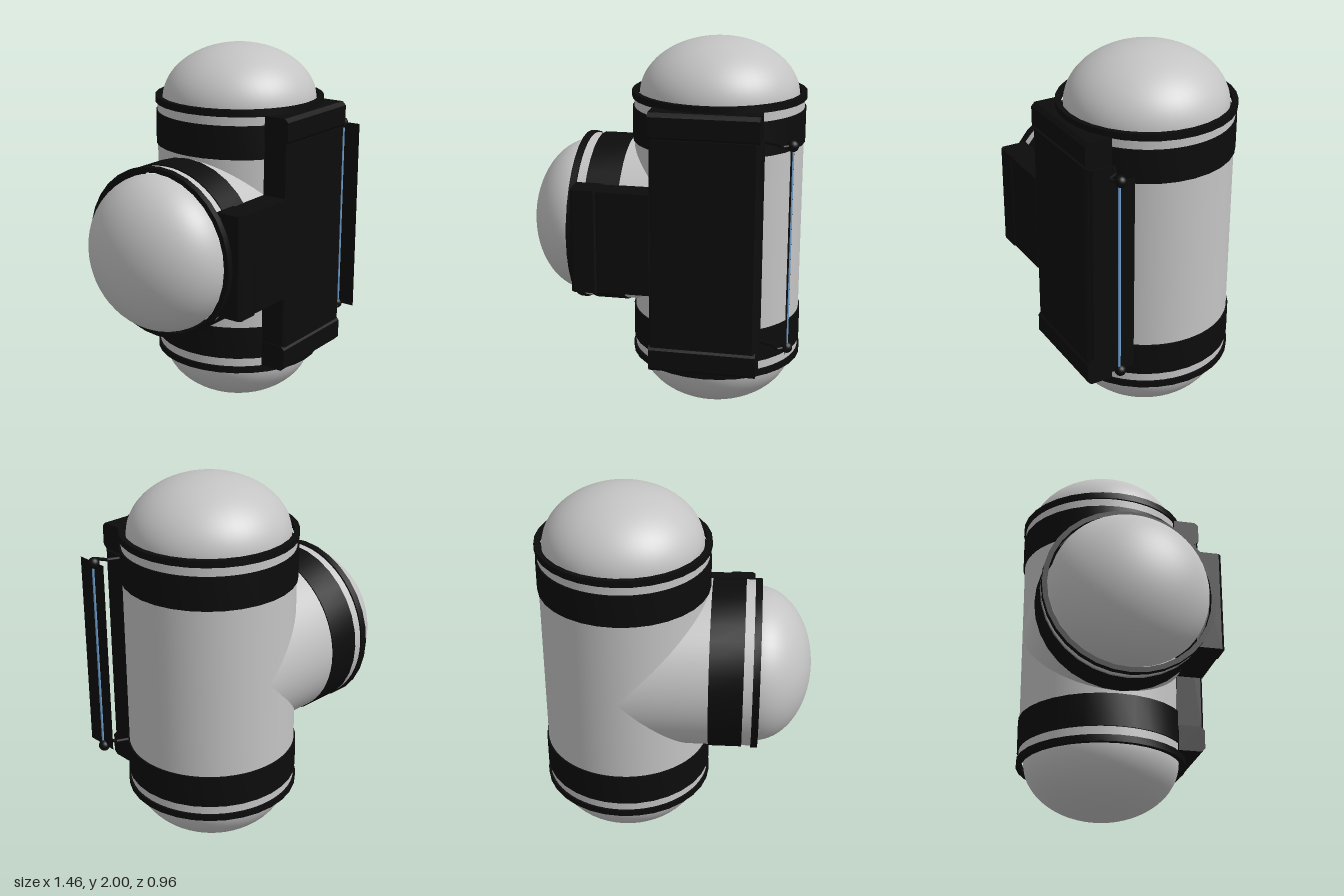
import * as THREE from 'three';
import { toCreasedNormals } from 'three/addons/utils/BufferGeometryUtils.js';

const R = 0.445, CX = 0.265, CZ = -0.025;

export function createModel() {
  const mat = (name, color, side = THREE.FrontSide) => {
    const m = new THREE.MeshStandardMaterial({ color, side });
    m.name = name;
    return m;
  };
  const grey = mat('light grey', 0xc4c4c4);
  const black = mat('black', 0x0c0c0c, THREE.DoubleSide);
  const blue = mat('blue', 0x6f9fcf);

  const root = new THREE.Group();
  root.name = 'teeModule';
  const add = (parent, name, geo, material, x = 0, y = 0, z = 0) => {
    const m = new THREE.Mesh(geo, material);
    m.name = name;
    m.position.set(x, y, z);
    parent.add(m);
    return m;
  };

  // Hollow hoop with a rectangular section
  const hoop = (ri, ro, y0, y1) => {
    const pts = [[ri, y0], [ro, y0], [ro, y1], [ri, y1], [ri, y0]].map(p => new THREE.Vector2(...p));
    return toCreasedNormals(new THREE.LatheGeometry(pts, 32), 0.6);
  };

  // One closed end: wide band, thin rim and flattened dome, pointing along +y
  const makeEnd = name => {
    const g = new THREE.Group();
    g.name = name;
    add(g, 'band', hoop(0.436, 0.454, 0.465, 0.642), black);
    add(g, 'rim', hoop(0.43, 0.457, 0.69, 0.726), black);
    const dome = new THREE.SphereGeometry(0.418, 48, 20, 0, Math.PI * 2, 0, Math.PI / 2);
    dome.scale(1, 0.3 / 0.418, 1);
    add(g, 'dome', dome, grey, 0, 0.7, 0);
    root.add(g);
    return g;
  };
  makeEnd('topEnd').position.set(CX, 1, CZ);
  const bottom = makeEnd('bottomEnd');
  bottom.position.set(CX, 1, CZ);
  bottom.rotation.x = Math.PI;
  const side = makeEnd('sideEnd');
  side.position.set(CX + 0.005, 1, CZ);
  side.rotation.z = Math.PI / 2;

  // Upright hull tube
  add(root, 'hull', new THREE.CylinderGeometry(R, R, 1.4, 64, 1, true), grey, CX, 1, CZ);

  // Side tube, its inner edge mitred where it meets the hull
  const arm = new THREE.CylinderGeometry(R + 0.002, R + 0.002, 1.4, 64, 1, true);
  const p = arm.attributes.position;
  for (let i = 0; i < p.count; i++) if (p.getY(i) < 0) p.setY(i, Math.abs(p.getX(i)) - 0.003);
  add(side, 'sideTube', arm, grey);

  // Bar with bevelled edges, given by its limits; bevelled profile runs across "axis"
  const bar = (name, x0, x1, y0, y1, z0, z1, c, axis) => {
    const [a0, a1] = axis === 'x' ? [y0, y1] : [x0, x1];
    const s = new THREE.Shape([
      [a0, z0], [a1, z0], [a1, z1 - c], [a1 - c, z1], [a0 + c, z1], [a0, z1 - c],
    ].map(q => new THREE.Vector2(...q)));
    const depth = axis === 'x' ? x1 - x0 : y1 - y0;
    const geo = new THREE.ExtrudeGeometry(s, { depth, bevelEnabled: false });
    if (axis === 'x') {
      // (shape x, shape y, depth) -> (y, z, x)
      geo.applyMatrix4(new THREE.Matrix4().set(0, 0, 1, x0, 1, 0, 0, 0, 0, 1, 0, 0, 0, 0, 0, 1));
    } else {
      // shape y becomes z, depth becomes -y
      geo.rotateX(Math.PI / 2);
      geo.translate(0, y1, 0);
    }
    add(root, name, geo, black);
  };
  // T-shaped equipment panel and its end caps
  bar('frontPanel', -0.01, 0.54, 0.45, 1.56, 0.33, 0.475, 0.012, 'y');
  bar('topPanelCap', -0.015, 0.545, 1.555, 1.695, 0.335, 0.478, 0.02, 'x');
  bar('bottomPanelCap', -0.015, 0.545, 0.315, 0.455, 0.335, 0.478, 0.02, 'x');
  bar('panelEdge', 0.5, 0.553, 0.46, 1.55, 0.33, 0.46, 0.015, 'y');
  bar('sidePanel', -0.285, 0, 0.735, 1.275, 0.33, 0.475, 0.008, 'y');
  bar('sidePanelCap', -0.42, -0.28, 0.73, 1.28, 0.33, 0.478, 0.015, 'y');

  // Straight round rod between two points
  const rod = (name, a, b, r, material) => {
    const d = b.clone().sub(a);
    const m = add(root, name, new THREE.CylinderGeometry(r, r, d.length(), 10), material);
    m.position.copy(a).add(b).multiplyScalar(0.5);
    m.quaternion.setFromUnitVectors(new THREE.Vector3(0, 1, 0), d.normalize());
  };
  // Bent brackets with knobs holding the lamp
  for (const y of [0.47, 1.54]) {
    const path = [[0.545, 0.325], [0.62, 0.36], [0.65, 0.41], [0.695, 0.373]]
      .map(([x, z]) => new THREE.Vector3(x, y, z));
    for (let i = 0; i < 3; i++) rod('bracket', path[i], path[i + 1], 0.009, black);
    add(root, 'knob', new THREE.SphereGeometry(0.03, 16, 12), black, 0.695, y, 0.373);
  }
  // Thin backing sheet and lamp rod
  const sheet = new THREE.PlaneGeometry(0.185, 1.07);
  sheet.rotateY(Math.PI / 2);
  add(root, 'lampSheet', sheet, black, 0.695, 1.01, 0.388);
  rod('lamp', new THREE.Vector3(0.695, 0.49, 0.38), new THREE.Vector3(0.695, 1.525, 0.38), 0.008, blue);

  return root;
}
